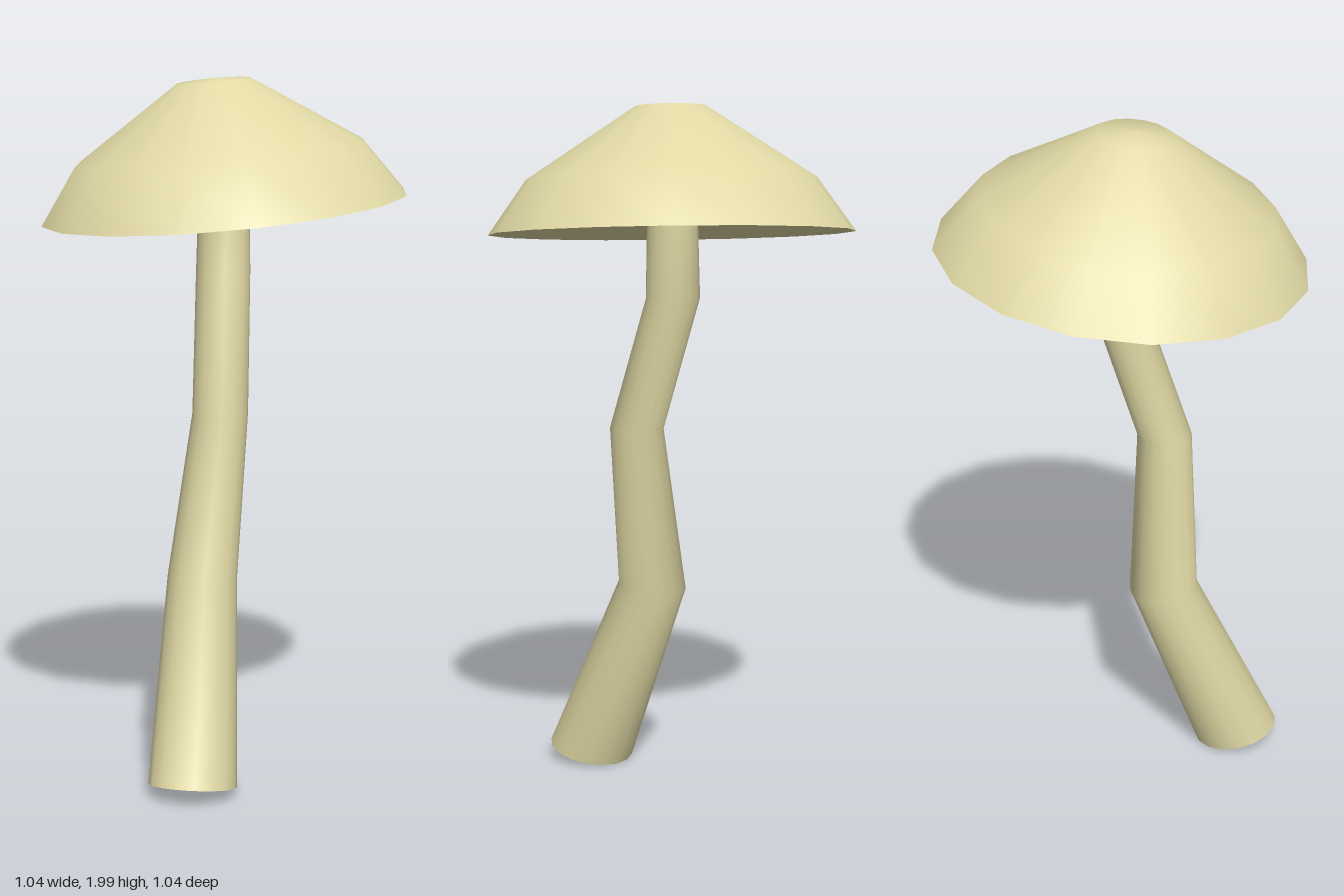
import * as THREE from 'three';
import { mergeVertices } from 'three/addons/utils/BufferGeometryUtils.js';

const SIDES = 16;

// Stem cross-sections from top to bottom: centre, radius and slope of the ring in x and z
const STEM_RINGS = [
  { c: [0.0, 1.8, 0.0], r: 0.07, sx: 0, sz: -0.1 },
  { c: [-0.003, 1.447, 0.002], r: 0.078, sx: 0, sz: -0.08 },
  { c: [0.077, 1.058, 0.103], r: 0.079, sx: 0, sz: 0 },
  { c: [0.025, 0.581, 0.122], r: 0.1, sx: 0.07, sz: 0.1 },
  { c: [0.165, 0.032, 0.315], r: 0.125, sx: 0.1, sz: 0.18 },
];

// Bend an open tube through the rings
function stemGeometry() {
  const rows = STEM_RINGS.length - 1;
  const geo = new THREE.CylinderGeometry(1, 1, 1, SIDES, rows, true);
  const pos = geo.attributes.position;
  for (let i = 0; i < pos.count; i++) {
    const { c, r, sx, sz } = STEM_RINGS[Math.round((0.5 - pos.getY(i)) * rows)];
    const dx = pos.getX(i) * r;
    const dz = pos.getZ(i) * r;
    pos.setXYZ(i, c[0] + dx, c[1] + dx * sx + dz * sz, c[2] + dz);
  }
  geo.deleteAttribute('uv');
  geo.deleteAttribute('normal');
  const smooth = mergeVertices(geo);
  smooth.computeVertexNormals();
  return smooth;
}

// Turn a profile of [radius, height] pairs around the cap's axis
function turned(profile) {
  const points = profile.map(([r, y]) => new THREE.Vector2(r, y));
  return new THREE.LatheGeometry(points, SIDES, 0.11);
}

export function createModel() {
  const model = new THREE.Group();
  model.name = 'mushroom';
  const material = new THREE.MeshStandardMaterial({ color: 0xe0d8a4, side: THREE.DoubleSide });

  const add = (parent, name, geometry) => {
    const mesh = new THREE.Mesh(geometry, material);
    mesh.name = name;
    parent.add(mesh);
  };

  add(model, 'stem', stemGeometry());

  // Cap, tipped down towards the front
  const cap = new THREE.Group();
  cap.name = 'cap';
  cap.position.set(0, 1.632, 0);
  cap.rotation.set(0.11, 0, 0.02);
  model.add(cap);

  add(cap, 'capTop', turned([[0.525, 0], [0.415, 0.155], [0.105, 0.358], [0, 0.366]]));
  // Hollow underside rising to the stem
  add(cap, 'capUnderside', turned([[0.06, 0.17], [0.12, 0.125], [0.3, 0.09], [0.468, 0.012], [0.525, 0]]));

  return model;
}
